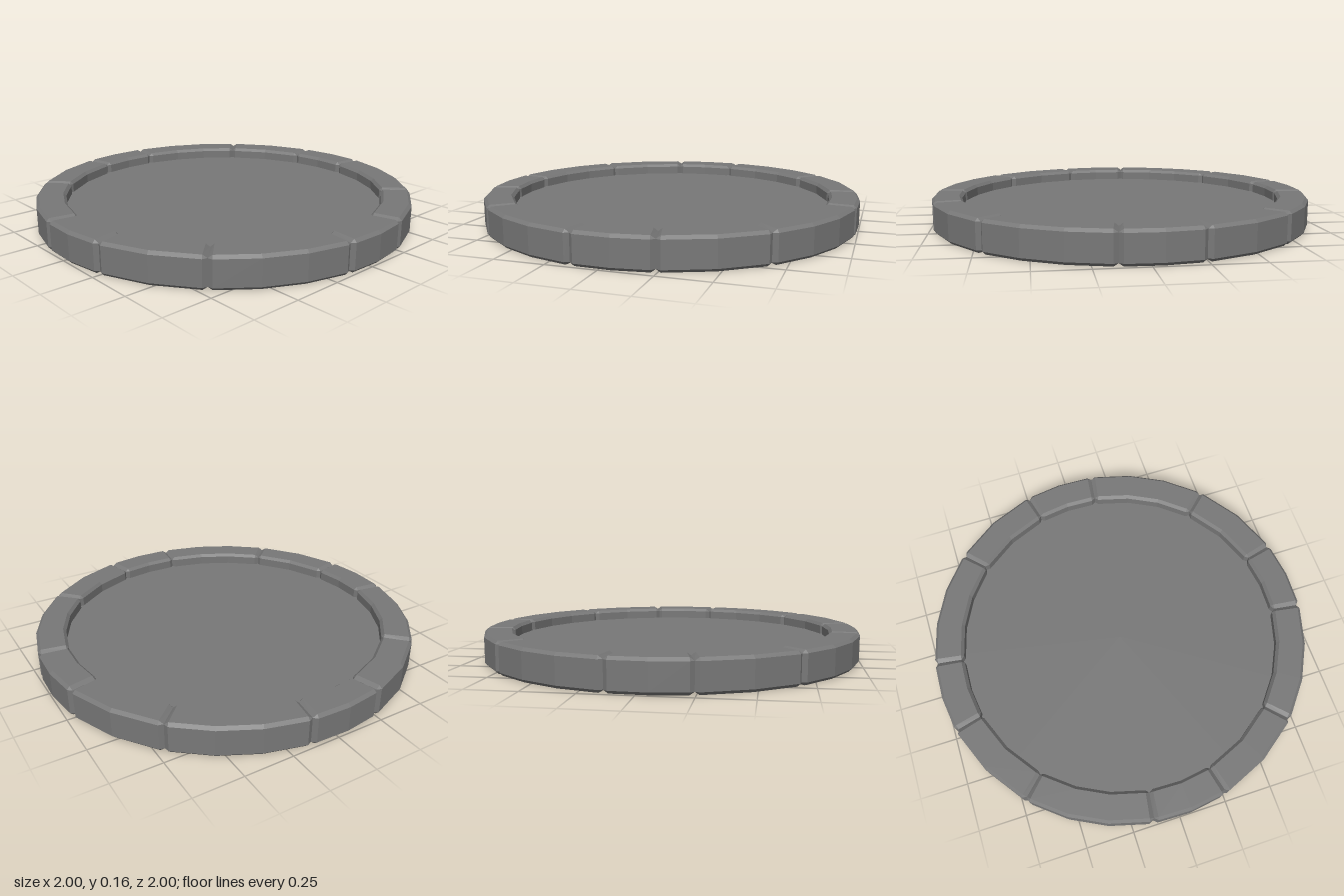
import * as THREE from 'three';

const OUTER = 1, INNER = 0.845, HEIGHT = 0.16, BEVEL = 0.015;
const END = 0.022; // angle taken up by the chamfer at each end of a stone

// Section of a stone as [radius, height] pairs, anticlockwise
const full = [
  [INNER + BEVEL, 0], [OUTER - BEVEL, 0], [OUTER, BEVEL], [OUTER, HEIGHT - BEVEL],
  [OUTER - BEVEL, HEIGHT], [INNER + BEVEL, HEIGHT], [INNER, HEIGHT - BEVEL], [INNER, BEVEL],
];
// The same section shrunk to a plain rectangle, for the chamfered ends
const shrunk = full.map(([r, y]) => [
  THREE.MathUtils.clamp(r, INNER + BEVEL, OUTER - BEVEL),
  THREE.MathUtils.clamp(y, BEVEL, HEIGHT - BEVEL),
]);

// Curved block with chamfered edges, swept from angle a0 to a1 in flat facets
function stoneGeometry(a0, a1, facets) {
  const sections = [[a0, shrunk]];
  for (let i = 0; i <= facets; i++) {
    sections.push([THREE.MathUtils.lerp(a0 + END, a1 - END, i / facets), full]);
  }
  sections.push([a1, shrunk]);

  const rings = sections.map(([a, profile]) =>
    profile.map(([r, y]) => new THREE.Vector3(r * Math.cos(a), y, -r * Math.sin(a))));
  const points = [];
  const triangle = (a, b, c) => {
    const area = b.clone().sub(a).cross(c.clone().sub(a)).length();
    if (area > 1e-8) points.push(a, b, c);
  };
  const n = full.length;
  for (let i = 0; i < rings.length - 1; i++) {
    for (let k = 0; k < n; k++) {
      const m = (k + 1) % n;
      triangle(rings[i][k], rings[i + 1][k], rings[i + 1][m]);
      triangle(rings[i][k], rings[i + 1][m], rings[i][m]);
    }
  }
  const first = rings[0], last = rings[rings.length - 1];
  for (let k = 1; k < n - 1; k++) {
    triangle(first[0], first[k], first[k + 1]);
    triangle(last[0], last[k + 1], last[k]);
  }
  const geometry = new THREE.BufferGeometry().setFromPoints(points);
  geometry.computeVertexNormals();
  return geometry;
}

export function createModel() {
  const model = new THREE.Group();
  model.name = 'stoneRingBasin';
  const stone = new THREE.MeshStandardMaterial({ color: 0x787878, flatShading: true });
  stone.name = 'grey stone';

  // Three stone lengths, repeated in each quarter of the rim
  const rim = new THREE.Group();
  rim.name = 'rim';
  const kinds = [
    ['shortStone', -8.1, 14.3, 2],
    ['mediumStone', 14.3, 43.9, 2],
    ['longStone', 43.9, 81.9, 3],
  ];
  for (const [name, from, to, facets] of kinds) {
    const geometry = stoneGeometry(
      THREE.MathUtils.degToRad(from), THREE.MathUtils.degToRad(to), facets);
    for (let quarter = 0; quarter < 4; quarter++) {
      const mesh = new THREE.Mesh(geometry, stone);
      mesh.name = name;
      mesh.rotation.y = quarter * Math.PI / 2;
      rim.add(mesh);
    }
  }
  model.add(rim);

  // Thin floor set into the rim
  const floor = new THREE.Mesh(new THREE.CylinderGeometry(0.9, 0.9, 0.006, 32), stone);
  floor.name = 'floor';
  floor.position.y = 0.097;
  model.add(floor);

  return model;
}
